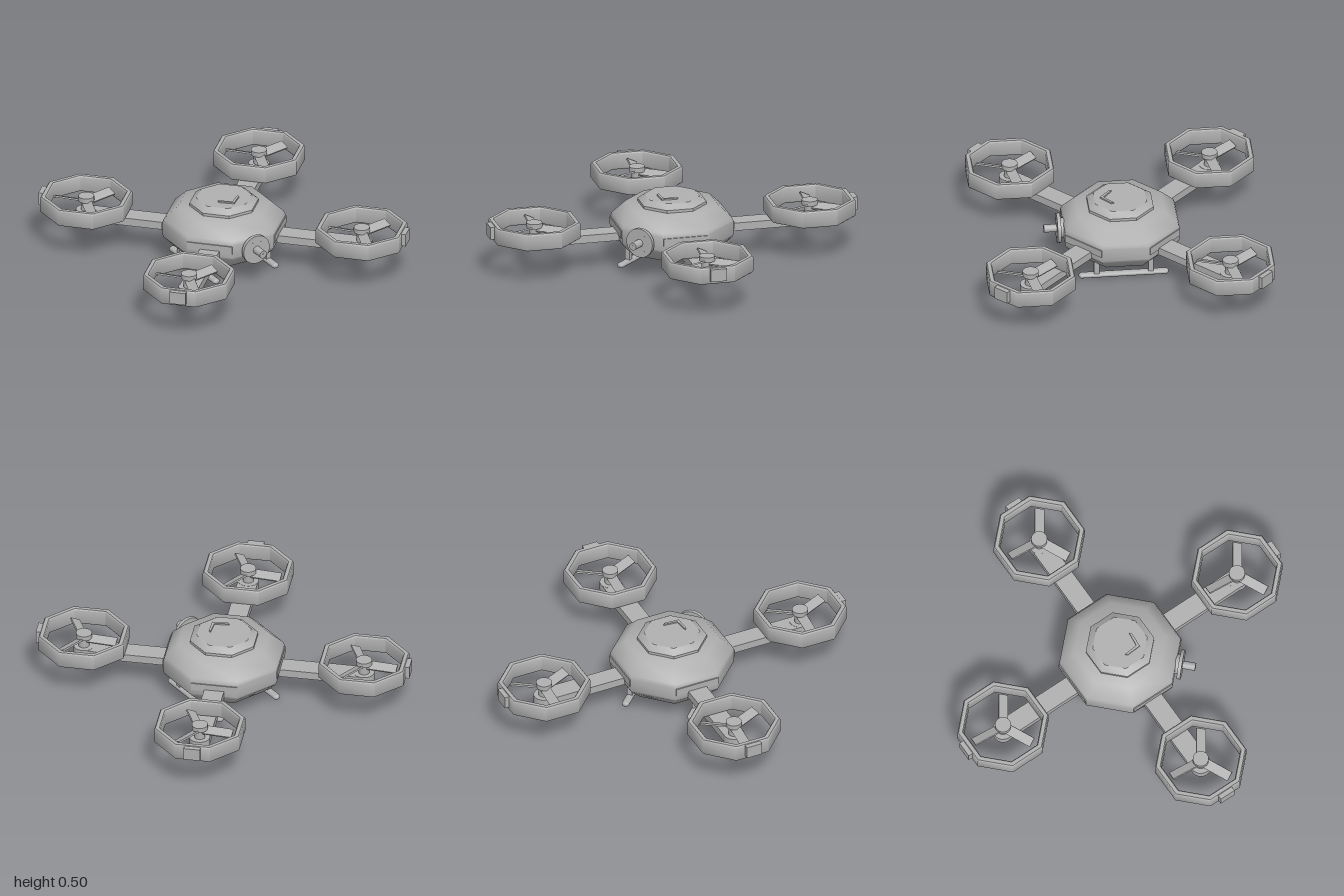
import * as THREE from 'three';
import { toCreasedNormals } from 'three/addons/utils/BufferGeometryUtils.js';

const grey = new THREE.MeshStandardMaterial({ color: 0xb0b0b0 });
grey.name = 'plain grey';

function add(parent, name, geometry, x = 0, y = 0, z = 0) {
  const mesh = new THREE.Mesh(geometry, grey);
  mesh.name = name;
  mesh.position.set(x, y, z);
  parent.add(mesh);
  return mesh;
}

// Octagonal solid from a profile of [distance to flat side, height], bottom to top
function octagon(profile, crease = 0.82) {
  const k = 1 / Math.cos(Math.PI / 8);
  const points = profile.map(([r, y]) => new THREE.Vector2(r * k, y));
  return toCreasedNormals(new THREE.LatheGeometry(points, 8, Math.PI / 8), crease);
}

// Cylinder lying along z, from z0 to z1
function rodZ(radius, z0, z1, sides = 32) {
  return new THREE.CylinderGeometry(radius, radius, z1 - z0, sides)
    .rotateX(Math.PI / 2).translate(0, 0, (z0 + z1) / 2);
}

function buildBody(parent) {
  add(parent, 'hull', octagon([[0, 0.12], [0.31, 0.12], [0.39, 0.205], [0.4, 0.225],
    [0.4, 0.325], [0.39, 0.35], [0.3, 0.44], [0, 0.44]]));
  add(parent, 'topHatch', octagon([[0.225, 0.435], [0.225, 0.46], [0.18, 0.495], [0, 0.495]], 0.5));

  // Raised arrow pointing forward
  const arrow = new THREE.Shape([[-0.08, -0.05], [-0.08, -0.07], [0, -0.14], [0.08, -0.07],
    [0.08, -0.05], [0, -0.115]].map(([x, y]) => new THREE.Vector2(x, y)));
  add(parent, 'directionArrow', new THREE.ExtrudeGeometry(arrow, { depth: 0.012, bevelEnabled: false })
    .rotateX(-Math.PI / 2), 0, 0.493, 0);
}

function buildSensor(parent) {
  const sensor = new THREE.Group();
  sensor.name = 'frontSensor';
  sensor.position.y = 0.27;
  parent.add(sensor);
  add(sensor, 'sensorMount', rodZ(0.07, 0.38, 0.422));
  add(sensor, 'sensorDisc', rodZ(0.105, 0.42, 0.445));
  add(sensor, 'sensorBarrel', rodZ(0.028, 0.44, 0.535, 16));
  add(sensor, 'sensorTip', rodZ(0.008, 0.53, 0.537, 10));
  for (const x of [-0.035, 0.035]) for (const y of [-0.055, 0.055])
    add(sensor, 'bolt', rodZ(0.005, 0.44, 0.448, 8), x, y, 0);
}

function buildLandingGear(parent) {
  for (const x of [-0.24, 0.24]) {
    const skid = new THREE.CapsuleGeometry(0.02, 0.59, 4, 12).rotateX(Math.PI / 2).scale(1.35, 1, 1);
    add(parent, 'skid', skid, x, 0.021, 0);
    for (const z of [-0.19, 0.19])
      add(parent, 'skidStrut', new THREE.BoxGeometry(0.036, 0.11, 0.038), x, 0.085, z);
  }
}

function buildRotor(parent, sx, sz) {
  // Diagonal arm with its root plate and the tab on the outer guard face
  const arm = new THREE.Group();
  arm.name = 'armAssembly';
  arm.rotation.y = Math.atan2(-sz, sx);
  parent.add(arm);
  const hubDistance = 0.7 * Math.SQRT2;
  add(arm, 'arm', new THREE.BoxGeometry(hubDistance - 0.33, 0.057, 0.14), (hubDistance + 0.33) / 2, 0.2435, 0);
  add(arm, 'armRootPlate', new THREE.BoxGeometry(0.03, 0.055, 0.325), 0.392, 0.288, 0);
  add(arm, 'guardTab', new THREE.BoxGeometry(0.05, 0.09, 0.115), hubDistance + 0.305, 0.34, 0);

  const rotor = new THREE.Group();
  rotor.name = 'rotor';
  rotor.position.set(0.7 * sx, 0, 0.7 * sz);
  parent.add(rotor);
  add(rotor, 'guard', octagon([[0.26, 0.28], [0.267, 0.27], [0.293, 0.27], [0.3, 0.278],
    [0.3, 0.38], [0.293, 0.39], [0.267, 0.39], [0.26, 0.38], [0.26, 0.28]], 0.82));
  add(rotor, 'motorPod', new THREE.CylinderGeometry(0.073, 0.073, 0.064, 24), 0, 0.242, 0);
  add(rotor, 'shaft', new THREE.CylinderGeometry(0.038, 0.038, 0.09, 20), 0, 0.31, 0);
  add(rotor, 'hubCap', new THREE.CylinderGeometry(0.056, 0.056, 0.035, 24), 0, 0.36, 0);

  // Three pitched blades
  for (const degrees of [-10, 110, 230]) {
    const pivot = new THREE.Group();
    pivot.name = 'bladePivot';
    pivot.position.y = 0.337;
    pivot.rotation.y = -THREE.MathUtils.degToRad(degrees);
    rotor.add(pivot);
    add(pivot, 'blade', new THREE.BoxGeometry(0.21, 0.012, 0.07), 0.13, 0, 0).rotation.x = 0.42;
  }
}

export function createModel() {
  const model = new THREE.Group();
  model.name = 'quadcopter';
  buildBody(model);
  buildSensor(model);
  buildLandingGear(model);
  for (const sx of [-1, 1]) for (const sz of [-1, 1]) buildRotor(model, sx, sz);
  return model;
}
